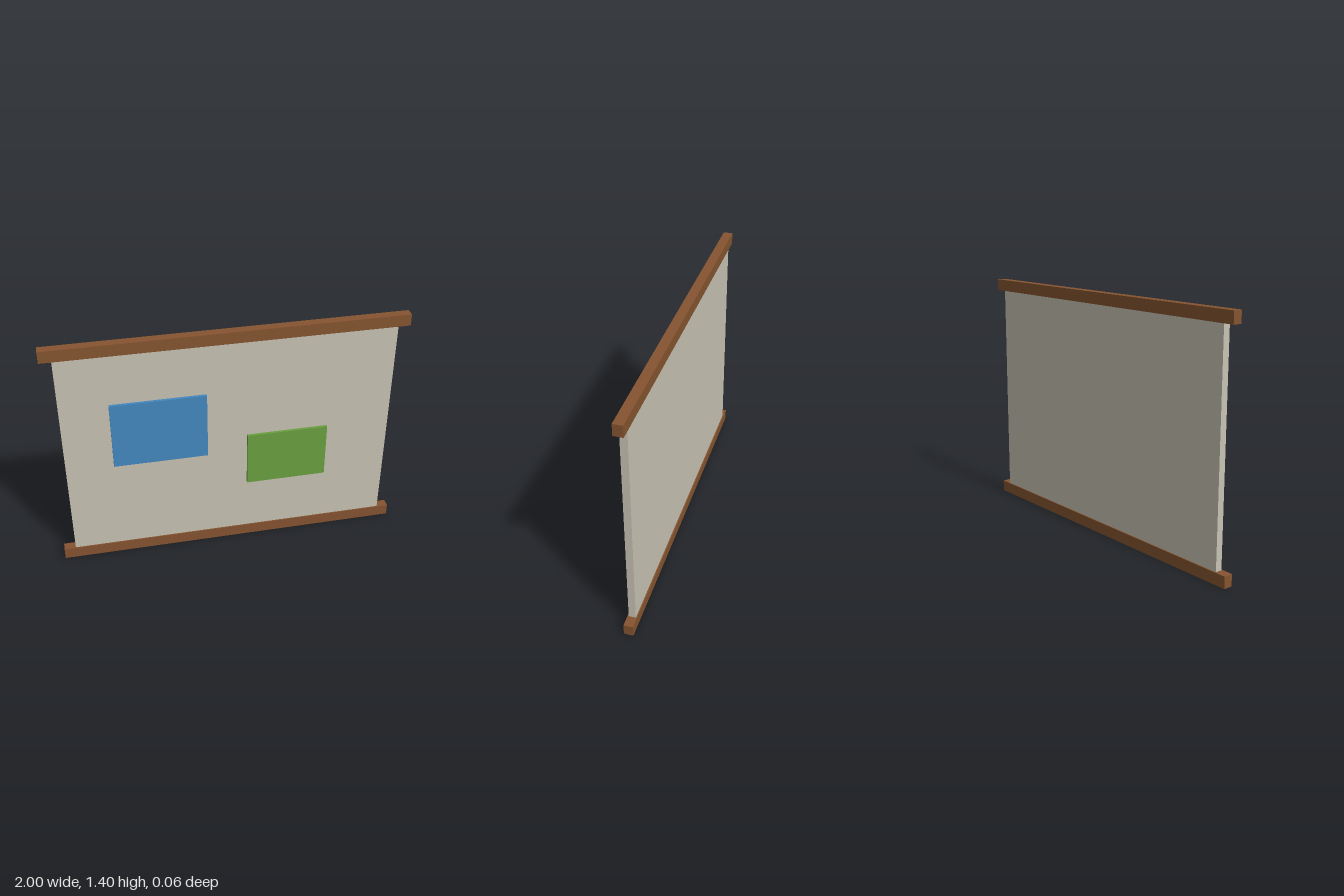
import * as THREE from 'three';

export function createModel() {
  const group = new THREE.Group();
  group.name = 'noticeBoard';

  const material = (name, color) => {
    const m = new THREE.MeshStandardMaterial({ color });
    m.name = name;
    return m;
  };
  const wood = material('brown wood', 0x855430);
  const panel = material('warm grey panel', 0xc8c3b4);
  const blue = material('blue paper', 0x4488c0);
  const green = material('green paper', 0x6aa040);

  const box = (name, mat, size, position) => {
    const mesh = new THREE.Mesh(new THREE.BoxGeometry(...size), mat);
    mesh.name = name;
    mesh.position.set(...position);
    group.add(mesh);
  };

  // Board between two wider rails
  const boardZ = -0.0045;
  box('board', panel, [1.867, 1.267, 0.04], [0, 0.7, boardZ]);
  box('bottomRail', wood, [2, 0.067, 0.0533], [0, 0.0335, boardZ]);
  box('topRail', wood, [2, 0.067, 0.0533], [0, 1.3665, boardZ]);

  // Notices fixed to the front face
  box('blueNotice', blue, [0.533, 0.4, 0.0165], [-0.4, 0.834, 0.0235]);
  box('greenNotice', green, [0.467, 0.333, 0.0165], [0.33, 0.567, 0.0235]);

  return group;
}
